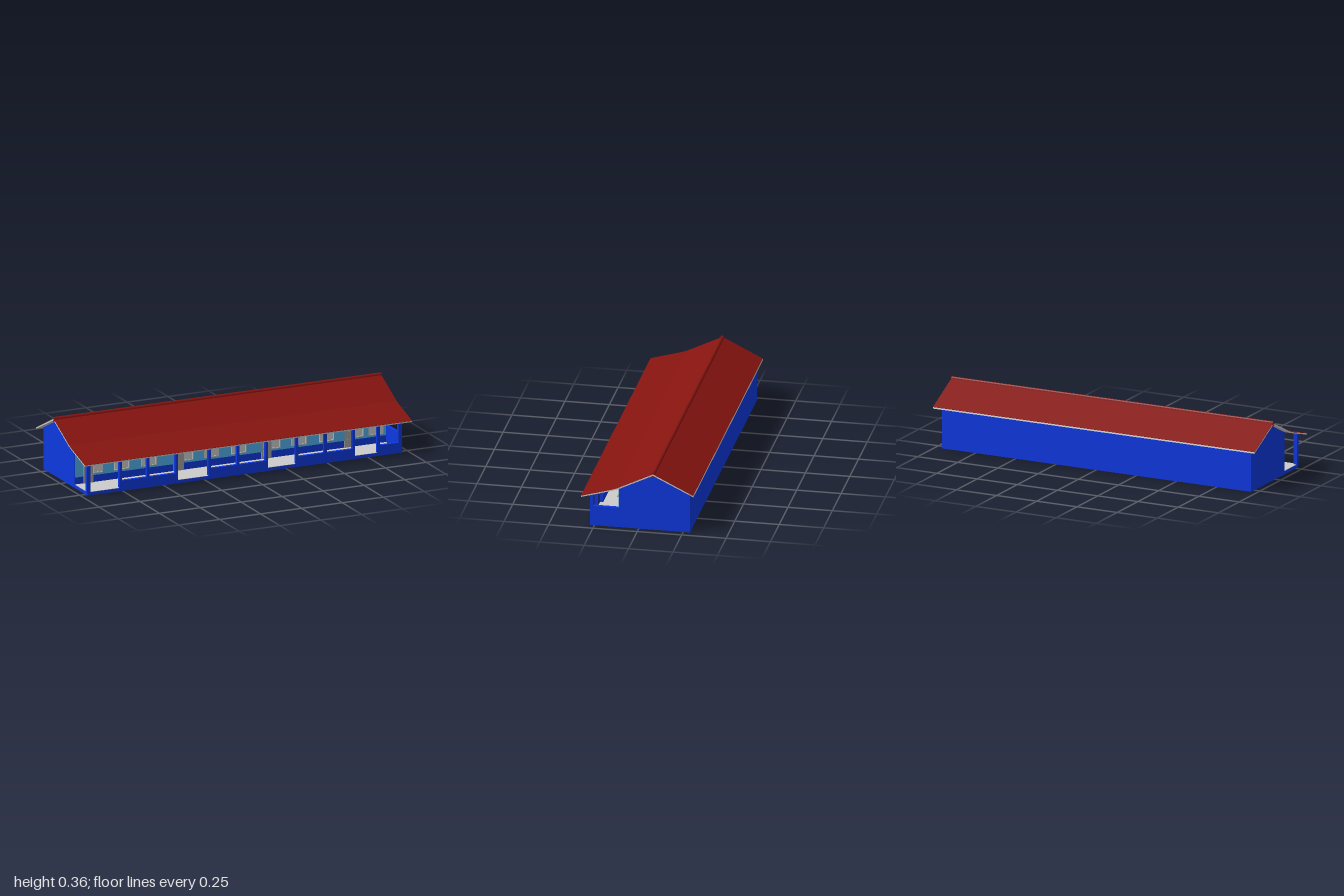
import * as THREE from 'three';

const paint = (color) => new THREE.MeshStandardMaterial({ color, flatShading: true });
const BLUE = paint(0x0e38e0), SKY = paint(0x4fb0ea), RED = paint(0x86140f);
const GREY = paint(0xcccccc), DOOR = paint(0xa0a0a0), OCHRE = paint(0xa58a50);

// Box given by its min and max on each axis
function box(parent, name, mat, [x0, x1], [y0, y1], [z0, z1]) {
  const mesh = new THREE.Mesh(new THREE.BoxGeometry(x1 - x0, y1 - y0, z1 - z0), mat);
  mesh.position.set((x0 + x1) / 2, (y0 + y1) / 2, (z0 + z1) / 2);
  mesh.name = name;
  parent.add(mesh);
}

// Side profile of [z, y] points extruded along x
function profile(parent, name, mat, points, [x0, x1]) {
  const shape = new THREE.Shape(points.map(([z, y]) => new THREE.Vector2(z, y)));
  const geo = new THREE.ExtrudeGeometry(shape, { depth: x1 - x0, bevelEnabled: false });
  geo.rotateY(-Math.PI / 2).translate(x1, 0, 0);
  const mesh = new THREE.Mesh(geo, mat);
  mesh.name = name;
  parent.add(mesh);
}

const WALL_Z = 0.114, ENDS = [-0.965, 0.957];

// Two-pane window with frame and a small sloping hood
function addWindow(parent, x0, x1, panes) {
  const g = new THREE.Group();
  g.name = 'window';
  const y0 = 0.072, y1 = 0.165, t = 0.005;
  box(g, 'windowPane', GREY, [x0, x1], [y0, y1], [WALL_Z - 0.002, WALL_Z + 0.001]);
  for (let i = 0; i <= panes; i++) {
    const x = x0 + ((x1 - x0 - t) * i) / panes;
    box(g, 'windowUpright', GREY, [x, x + t], [y0, y1], [WALL_Z, WALL_Z + 0.005]);
  }
  for (const y of [y0, 0.132, y1 - t])
    box(g, 'windowRail', GREY, [x0, x1], [y, y + t], [WALL_Z, WALL_Z + 0.005]);
  parent.add(g);
}

function addHood(parent, x0, x1) {
  profile(parent, 'hood', OCHRE,
    [[WALL_Z, 0.172], [WALL_Z + 0.014, 0.166], [WALL_Z + 0.014, 0.17], [WALL_Z, 0.178]], [x0 - 0.006, x1 + 0.006]);
}

function addDoor(parent, x0, x1) {
  const g = new THREE.Group();
  g.name = 'door';
  box(g, 'doorLeaf', DOOR, [x0, x1], [0.02, 0.168], [WALL_Z - 0.002, WALL_Z + 0.003]);
  for (const y of [0.035, 0.08, 0.125])
    box(g, 'doorPanel', DOOR, [x0 + 0.01, x1 - 0.01], [y, y + 0.033], [WALL_Z, WALL_Z + 0.005]);
  parent.add(g);
}

export function createModel() {
  const model = new THREE.Group();
  model.name = 'longHouse';

  // Main block with gable ends
  profile(model, 'mainBlock', BLUE,
    [[-0.288, 0], [0.112, 0], [0.112, 0.242], [-0.088, 0.34], [-0.288, 0.242]], ENDS);
  box(model, 'upperFrontWall', SKY, [-0.963, 0.955], [0.06, 0.24], [0.11, WALL_Z]);

  // Veranda base, floor and end wall
  box(model, 'verandaBase', BLUE, ENDS, [0, 0.018], [0.11, 0.275]);
  box(model, 'verandaFloor', GREY, [-0.963, 0.945], [0.016, 0.02], [0.112, 0.274]);
  box(model, 'verandaEndWall', BLUE, [0.937, ENDS[1]], [0, 0.115], [0.11, 0.275]);

  // Posts, with a low wall in every bay that is not an entrance
  const posts = [-0.957, -0.762, -0.592, -0.418, -0.216, -0.044, 0.132, 0.316, 0.49, 0.663, 0.814, 0.947];
  const entrances = [0, 3, 6, 9];
  posts.forEach((x, i) => {
    const w = i === 0 || i === posts.length - 1 ? 0.01 : 0.008;
    box(model, 'post', BLUE, [x - w, x + w], [0.01, 0.192], [0.257, 0.275]);
    if (i < posts.length - 1 && !entrances.includes(i))
      box(model, 'lowWall', BLUE, [x, posts[i + 1]], [0.01, 0.06], [0.257, 0.275]);
  });

  // Doors, each with a side window
  for (const x of [-0.912, -0.36, 0.174, 0.682]) {
    addDoor(model, x, x + 0.06);
    addWindow(model, x + 0.06, x + 0.116, 1);
    addHood(model, x, x + 0.116);
  }
  for (const x of [-0.68, -0.512, -0.132, 0.035, 0.405, 0.572, 0.873]) {
    addWindow(model, x - 0.045, x + 0.045, 2);
    addHood(model, x - 0.045, x + 0.045);
  }

  // Roof slab, red covering and ridge cap
  const top = [[0.317, 0.189], [0.15, 0.237], [0.115, 0.249], [-0.088, 0.349], [-0.314, 0.238]];
  const under = [[-0.316, 0.23], [-0.088, 0.34], [0.113, 0.242], [0.15, 0.23], [0.315, 0.182]];
  profile(model, 'roofSlab', GREY, [...under, ...top], [-1, 1]);
  const raised = top.map(([z, y]) => [z, y + 0.0015]).reverse();
  profile(model, 'roofCovering', RED, [...top, ...raised], [-1, 1]);
  profile(model, 'ridgeCap', RED,
    [[-0.088, 0.33], [-0.076, 0.339], [-0.079, 0.353], [-0.084, 0.358],
      [-0.092, 0.358], [-0.097, 0.353], [-0.1, 0.339]], [-1, 1]);

  return model;
}
